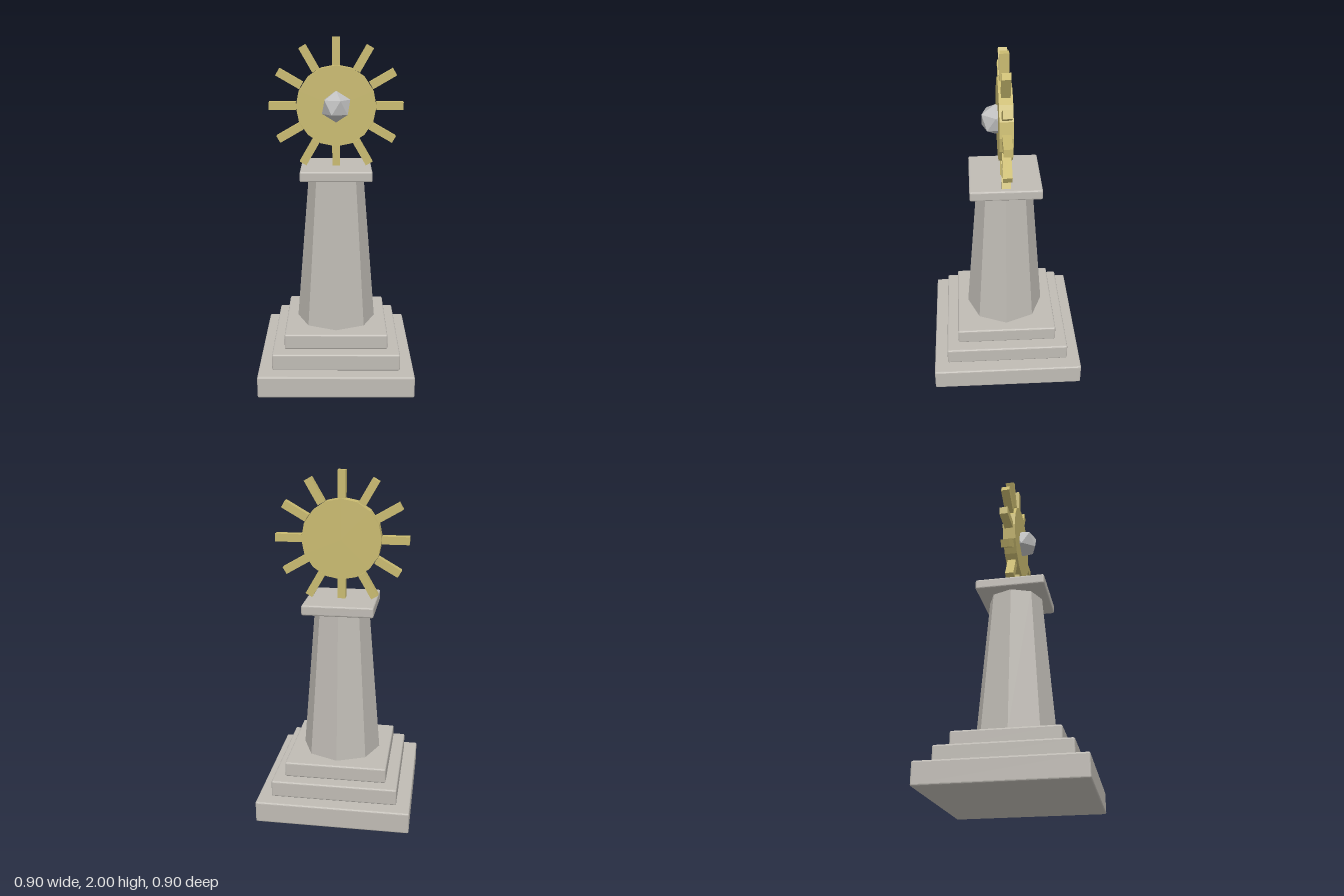
import * as THREE from 'three';
import { RoundedBoxGeometry } from 'three/addons/geometries/RoundedBoxGeometry.js';
import { ConvexGeometry } from 'three/addons/geometries/ConvexGeometry.js';

const material = (name, color) => Object.assign(new THREE.MeshStandardMaterial({ color, flatShading: true }), { name });

export function createModel() {
  const stone = material('stone', 0xbfbbb4);
  const gold = material('gold', 0xc9ba70);
  const silver = material('silver', 0xc0c0c0);
  const model = new THREE.Group();
  model.name = 'sunMonument';

  const add = (name, geometry, mat, parent = model) => {
    const mesh = new THREE.Mesh(geometry, mat);
    mesh.name = name;
    parent.add(mesh);
    return mesh;
  };

  // Square slabs with softened edges: three steps and the capital
  const slab = (name, width, y0, y1) => {
    add(name, new RoundedBoxGeometry(width, y1 - y0, width, 2, 0.01), stone).position.y = (y0 + y1) / 2;
  };
  slab('lowerStep', 0.9, 0, 0.13);
  slab('middleStep', 0.74, 0.13, 0.23);
  slab('upperStep', 0.6, 0.23, 0.322);
  slab('capital', 0.41, 1.21, 1.27);

  // Tapered eight-sided column, corner facing forward
  add('column', new THREE.CylinderGeometry(0.16, 0.234, 0.9, 8), stone).position.y = 0.77;

  // Sun emblem
  const sun = new THREE.Group();
  sun.name = 'sun';
  sun.position.y = 1.615;
  model.add(sun);
  add('sunDisc', new THREE.CylinderGeometry(0.23, 0.23, 0.075, 16).rotateX(Math.PI / 2), gold, sun);

  // Twelve rays around the disc
  for (let i = 0; i < 12; i++) {
    const ray = new THREE.BoxGeometry(0.045, 0.155, 0.05).translate(0, 0.3075, 0);
    add('ray', ray, gold, sun).rotation.z = (i * Math.PI) / 6;
  }

  // Faceted gem: a point above and below, with two staggered rings of five
  const r = 0.09;
  const points = [new THREE.Vector3(0, r, 0), new THREE.Vector3(0, -r, 0)];
  for (let i = 0; i < 10; i++) {
    const a = (i * Math.PI) / 5;
    const y = (i % 2 ? -1 : 1) * 0.4472 * r;
    points.push(new THREE.Vector3(Math.cos(a) * 0.8944 * r, y, Math.sin(a) * 0.8944 * r));
  }
  add('gem', new ConvexGeometry(points), silver, sun).position.z = 0.05;

  return model;
}
